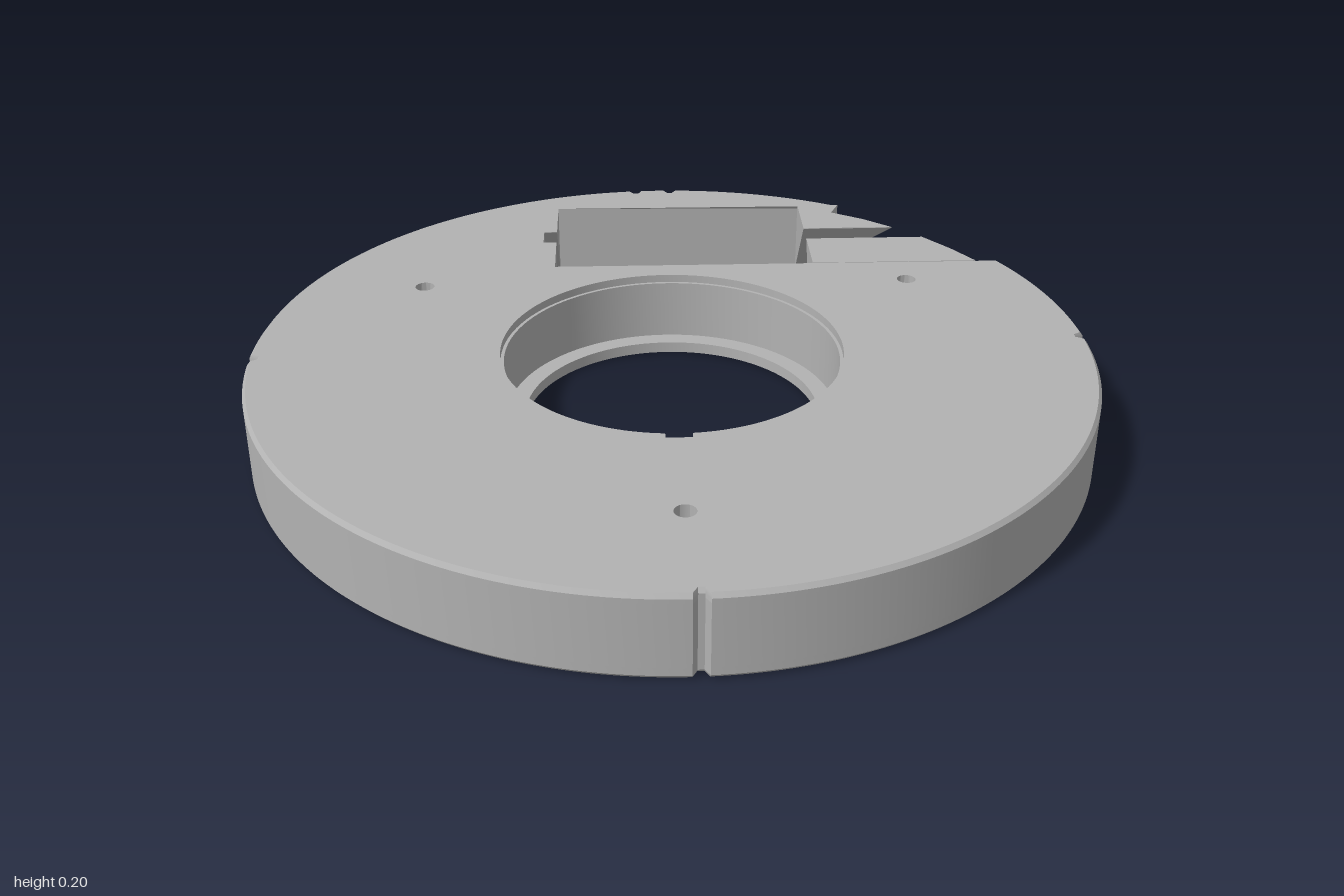
import * as THREE from 'three';
import { toCreasedNormals } from 'three/addons/utils/BufferGeometryUtils.js';

const TOP = 0.2, BASE = 0.002;
const FRONT = 0.47, BACK = 0.865; // channel walls, measured towards the back
const DEG = Math.PI / 180;

// Plan shapes use (x, -z); extrusion runs upward from y0
function extrudeUp(shape, y0, y1, steps = 1) {
  const g = new THREE.ExtrudeGeometry(shape, { depth: y1 - y0, steps, bevelEnabled: false, curveSegments: 96 });
  return g.rotateX(-Math.PI / 2).translate(0, y0, 0);
}

// Apply a rule to every vertex
function moveVertices(g, rule) {
  const p = g.attributes.position, v = new THREE.Vector3();
  for (let i = 0; i < p.count; i++) {
    rule(v.fromBufferAttribute(p, i));
    p.setXYZ(i, v.x, v.y, v.z);
  }
  return g;
}

// Disc outline with small rim notches and the open channel
function discOutline() {
  const notches = [88.3, 94, 181.1, 271.1, 361.4];
  const start = Math.atan2(BACK, 0.502) / DEG, end = 360 + Math.atan2(FRONT, 0.883) / DEG;
  const rim = [];
  for (let i = 0; i <= 240; i++) {
    const a = start + (end - start) * i / 240;
    if (notches.every(n => Math.abs(a - n) > 1.1)) rim.push([a, 1]);
  }
  for (const n of notches) rim.push([n - 1, 1], [n - 0.4, 0.982], [n + 0.4, 0.982], [n + 1, 1]);
  rim.sort((a, b) => a[0] - b[0]);
  const pts = rim.map(([a, r]) => new THREE.Vector2(r * Math.cos(a * DEG), r * Math.sin(a * DEG)));
  pts.push(new THREE.Vector2(-0.325, FRONT), new THREE.Vector2(-0.325, BACK));
  return new THREE.Shape(pts);
}

function circle(x, y, r) {
  return new THREE.Path().absarc(x, y, r, 0, Math.PI * 2, true);
}

// Bore with a square keyway at the front
function keyedBore(r) {
  const half = Math.asin(0.03 / r), p = new THREE.Path();
  p.absarc(0, 0, r, -Math.PI / 2 + half, Math.PI * 1.5 - half, false);
  p.lineTo(-0.03, -0.425);
  p.lineTo(0.03, -0.425);
  p.closePath();
  return p;
}

export function createModel() {
  const model = new THREE.Group();
  const grey = new THREE.MeshStandardMaterial({ color: 0xb2b2b2 });
  grey.name = 'grey plastic';

  function add(name, geometry, parent = model) {
    const m = new THREE.Mesh(geometry, grey);
    m.name = name;
    parent.add(m);
    return m;
  }

  // Body layers with a stepped bore and chamfered rim
  function layer(name, y0, y1, steps, holes) {
    const shape = discOutline();
    shape.holes.push(...holes);
    const g = moveVertices(extrudeUp(shape, y0, y1, steps), v => {
      const outer = Math.hypot(v.x, v.z) > 0.97;
      if (outer && (v.y < BASE + 1e-4 || v.y > TOP - 1e-4)) { v.x *= 0.992; v.z *= 0.992; }
    });
    add(name, toCreasedNormals(g, 0.4));
  }
  const screwHoles = () => [[-0.62, 0.36], [0.62, 0.36], [0, -0.715]].map(([x, y]) => circle(x, y, 0.024));
  layer('bottomLip', BASE, 0.03, 3, [circle(0, 0, 0.355)]);
  layer('bodyRing', 0.03, 0.18, 1, [keyedBore(0.4), ...screwHoles()]);
  layer('topRing', 0.18, TOP, 2, [keyedBore(0.408), ...screwHoles()]);

  // Sloped channel roofs: full height at the wall, thin at the central slit
  function wedge(name, wall, slit, points) {
    const shape = new THREE.Shape(points.map(([x, y]) => new THREE.Vector2(x, y)));
    const g = moveVertices(extrudeUp(shape, 0, TOP), v => {
      if (v.y < 0.1) v.y = BASE + (TOP - 2 * BASE) * (-v.z - wall) / (slit - wall);
    });
    add(name, toCreasedNormals(g, 0.3));
  }
  wedge('channelRoofFront', FRONT, 0.63,
    [[0.39, 0.47], [0.822, 0.47], [0.77, 0.55], [0.707, 0.63], [0.39, 0.63]]);
  wedge('channelRoofBack', BACK, 0.7,
    [[0.39, 0.865], [0.505, 0.865], [0.48, 0.81], [0.562, 0.76], [0.635, 0.7], [0.39, 0.7]]);
  for (const [name, wall, slit] of [['endRoofFront', FRONT, 0.63], ['endRoofBack', BACK, 0.7]]) {
    wedge(name, wall, slit, [[-0.325, wall], [-0.29, wall], [-0.29, slit], [-0.325, slit]]);
  }

  // Underside covers with a slot mark and four vent ribs, on three sides
  for (let i = -1; i <= 1; i++) {
    const side = new THREE.Group();
    side.name = 'undersideCover';
    side.rotation.y = i * Math.PI / 2;
    model.add(side);
    const plate = (name, w, d, x, z, h) =>
      add(name, new THREE.BoxGeometry(w, h, d).translate(x, BASE + 0.0005 - h / 2, z), side);
    plate('coverPanel', 0.78, 0.36, 0, 0.63, 0.0015);
    plate('slotMark', 0.34, 0.014, -0.56, 0.58, 0.002);
    for (let k = 0; k < 4; k++) plate('ventRib', 0.008, 0.14, -0.4 + k * 0.03, 0.74, 0.0025);
  }
  return model;
}
